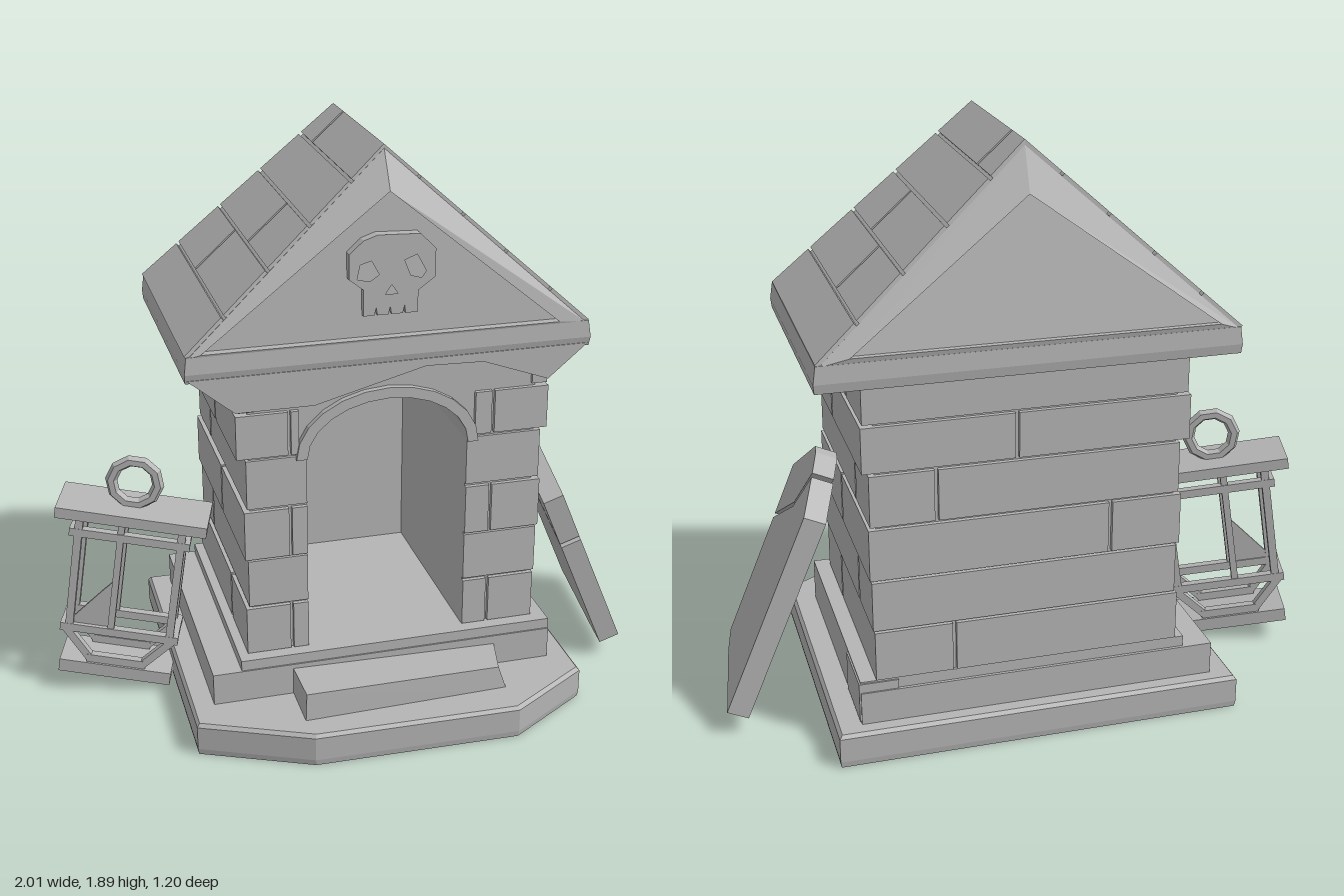
import * as THREE from 'three';

const stone = new THREE.MeshStandardMaterial({ color: 0xb4b4b4 });
stone.name = 'grey stone';

// Adds a faceted mesh to a parent
function add(parent, name, geometry) {
  const geo = geometry.index ? geometry.toNonIndexed() : geometry;
  geo.computeVertexNormals();
  const mesh = new THREE.Mesh(geo, stone);
  mesh.name = name;
  parent.add(mesh);
  return mesh;
}

function group(parent, name) {
  const g = new THREE.Group();
  g.name = name;
  parent.add(g);
  return g;
}

// Box given by its limits
function box(parent, name, x0, x1, y0, y1, z0, z1) {
  const geo = new THREE.BoxGeometry(x1 - x0, y1 - y0, z1 - z0);
  geo.translate((x0 + x1) / 2, (y0 + y1) / 2, (z0 + z1) / 2);
  return add(parent, name, geo);
}

// Closed solid through rings of equal point count, capped with fans and turned outwards
function loft(rings) {
  const n = rings[0].length, pos = rings.flat(2), idx = [];
  for (let r = 0; r < rings.length - 1; r++) {
    for (let i = 0; i < n; i++) {
      const a = r * n + i, b = r * n + (i + 1) % n;
      idx.push(a, b, b + n, a, b + n, a + n);
    }
  }
  const last = (rings.length - 1) * n;
  for (let i = 1; i < n - 1; i++) {
    idx.push(0, i + 1, i, last, last + i, last + i + 1);
  }
  const v = (i) => new THREE.Vector3(...pos.slice(i * 3, i * 3 + 3));
  let volume = 0;
  for (let i = 0; i < idx.length; i += 3) volume += v(idx[i]).dot(v(idx[i + 1]).cross(v(idx[i + 2])));
  if (volume < 0) idx.reverse();
  const geo = new THREE.BufferGeometry();
  geo.setAttribute('position', new THREE.Float32BufferAttribute(pos, 3));
  geo.setIndex(idx);
  return geo;
}

const shapeOf = (pts) => new THREE.Shape(pts.map((p) => new THREE.Vector2(...p)));
const pathOf = (pts) => new THREE.Path(pts.map((p) => new THREE.Vector2(...p)));
const extrude = (shape, z0, z1) =>
  new THREE.ExtrudeGeometry(shape, { depth: z1 - z0, bevelEnabled: false }).translate(0, 0, z0);

// Points of the door arch, left to right
function arch(rx, ry, cy = 0.93, n = 12) {
  return Array.from({ length: n + 1 }, (_, i) => {
    const a = Math.PI * (1 - i / n);
    return [0.04 + rx * Math.cos(a), cy + ry * Math.sin(a)];
  });
}

function buildBase(root) {
  const g = group(root, 'base');
  const plan = [[-0.63, -0.6], [0.68, -0.6], [0.68, 0.42], [0.4, 0.595], [-0.28, 0.58], [-0.63, 0.42]];
  const ring = (y, k) => plan.map(([x, z]) => [x * k, y, z * k]);
  add(g, 'foundation slab', loft([ring(0, 0.995), ring(0.02, 1), ring(0.1, 1), ring(0.112, 0.985)]));
  box(g, 'lower plinth', -0.555, 0.6, 0.1, 0.22, -0.55, 0.32);
  box(g, 'upper plinth', -0.46, 0.6, 0.2, 0.255, -0.54, 0.315);
  add(g, 'front step', loft([
    [[-0.29, 0.1, 0.3], [0.41, 0.1, 0.3], [0.4, 0.1, 0.47], [-0.29, 0.1, 0.49]],
    [[-0.29, 0.205, 0.3], [0.41, 0.19, 0.3], [0.37, 0.19, 0.465], [-0.285, 0.205, 0.485]],
  ]));
}

function buildWalls(root) {
  const g = group(root, 'walls');
  // Core with the arched doorway and the closed rear
  const outline = [[-0.41, 0.25], [-0.225, 0.25], ...arch(0.265, 0.18), [0.305, 0.25], [0.535, 0.25], [0.535, 1.23], [-0.41, 1.23]];
  add(g, 'wall core', extrude(shapeOf(outline), -0.44, 0.26));
  box(g, 'rear wall core', -0.41, 0.535, 0.25, 1.23, -0.53, -0.43);
  add(g, 'door arch', extrude(shapeOf([...arch(0.3, 0.215), ...arch(0.265, 0.18).reverse()]), 0.2, 0.282));
  // Brick courses: bottom, top, left x, right x, side joint z, rear joint x, split pier
  const courses = [
    [0.258, 0.42, -0.43, 0.55, 0.02, 0.3, true],
    [0.428, 0.59, -0.42, 0.555, -0.33, null, false],
    [0.598, 0.765, -0.43, 0.56, -0.1, -0.2, true],
    [0.775, 0.94, -0.42, 0.555, -0.33, 0.35, false],
    [0.95, 1.095, -0.45, 0.575, -0.065, 0.1, true],
    [1.105, 1.225, -0.44, 0.57, -0.3, null, false],
  ];
  const gap = 0.006, front = 0.275, back = -0.545, t = 0.05;
  courses.forEach(([y0, y1, xl, xr, zs, xb, split], row) => {
    // Side bricks
    for (const [x0, x1] of [[xl, xl + t], [xr - t, xr]]) {
      box(g, 'side brick', x0, x1, y0, y1, back, zs - gap);
      box(g, 'side brick', x0, x1, y0, y1, zs + gap, front - 0.004 * (row % 2));
    }
    // Rear bricks
    const joints = xb === null ? [xl + t, xr - t] : [xl + t, xb, xr - t];
    for (let i = 0; i < joints.length - 1; i++) {
      const a = joints[i] + (i ? gap : 0), b = joints[i + 1] - (i < joints.length - 2 ? gap : 0);
      box(g, 'rear brick', a, b, y0, y1, back, back + t);
    }
    // Front pier bricks beside the doorway
    if (row === 5) return;
    const inL = row === 4 ? -0.25 : -0.225, inR = row === 4 ? 0.33 : 0.305;
    const ends = split ? [[xl + t, -0.285], [-0.275, inL], [inR, 0.385], [0.395, xr - t]] : [[xl + t, inL], [inR, xr - t]];
    for (const [a, b] of ends) box(g, 'pier brick', a, b, y0, y1, front - t, front - 0.004 * (row % 2));
  });
  // Low bricks at the foot of the rear side
  box(g, 'foot brick', 0.48, 0.605, 0.12, 0.25, -0.545, -0.335);
}

function buildRoof(root) {
  const g = group(root, 'roof');
  const rect = (y, x0, x1, z0, z1) => [[x0, y, z0], [x1, y, z0], [x1, y, z1], [x0, y, z1]];
  add(g, 'cornice', loft([
    rect(1.22, -0.6, 0.705, -0.56, 0.275),
    rect(1.25, -0.602, 0.708, -0.565, 0.282),
    rect(1.305, -0.595, 0.7, -0.562, 0.278),
  ]));
  add(g, 'front corbel', extrude(shapeOf([
    [-0.595, 1.23], [-0.45, 1.11], [-0.2, 1.11], [0.16, 1.205], [0.35, 1.2], [0.57, 1.12], [0.7, 1.23],
  ]), 0.235, 0.28));
  // Gable body: recessed pediments inside sloping rims
  const tri = (xl, xr, y, top, z, zTop) => [[xl, y, z], [0.05, top, zTop], [xr, y, z]];
  add(g, 'gable', loft([
    tri(-0.55, 0.6, 1.31, 1.76, 0.25, 0.217),
    tri(-0.55, 0.6, 1.31, 1.76, 0.28, 0.237),
    tri(-0.59, 0.69, 1.3, 1.875, 0.277, 0.167),
    tri(-0.59, 0.69, 1.3, 1.875, -0.56, -0.435),
    tri(-0.53, 0.6, 1.32, 1.74, -0.565, -0.49),
    tri(-0.53, 0.6, 1.32, 1.74, -0.545, -0.47),
  ]));
  // Roof slabs in rows, split by joints
  const rows = [0, 0.19, 0.41, 0.62, 0.83, 1], joints = [null, -0.215, -0.055, null, -0.305];
  for (const eave of [-0.6, 0.7]) {
    const dx = 0.05 - eave, dy = 0.58, len = Math.hypot(dx, dy), th = 0.03;
    const nx = (-dy * Math.sign(dx) / len) * th, ny = (Math.abs(dx) / len) * th;
    joints.forEach((joint, r) => {
      const t0 = rows[r] + (r ? 0.006 : 0), t1 = rows[r + 1] - (r < 4 ? 0.006 : 0);
      const zf = (t) => 0.275 - 0.11 * t, zb = (t) => -0.56 + 0.125 * t;
      const spans = joint === null ? [[zb, zf]] : [[zb, () => joint - 0.006], [() => joint + 0.006, zf]];
      for (const [a, b] of spans) {
        const top = [[t0, a], [t1, a], [t1, b], [t0, b]].map(([t, z]) => [eave + dx * t, 1.308 + dy * t, z(t)]);
        const under = top.map(([x, y, z]) => [x - nx, y - ny, z]);
        add(g, 'roof slab', loft([under, top]));
      }
    });
  }
}

function buildSkull(root) {
  const skull = shapeOf([
    [-0.04, 1.62], [0.005, 1.635], [0.14, 1.63], [0.19, 1.58], [0.19, 1.49], [0.135, 1.45], [0.135, 1.38],
    [0.095, 1.38], [0.092, 1.405], [0.086, 1.38], [0.05, 1.38], [0.046, 1.405], [0.04, 1.38], [0.005, 1.38],
    [0.001, 1.405], [-0.005, 1.38], [-0.04, 1.38], [-0.04, 1.465], [-0.085, 1.5], [-0.085, 1.58],
  ]);
  skull.holes.push(
    pathOf([[-0.05, 1.545], [-0.015, 1.555], [0.01, 1.51], [-0.02, 1.49], [-0.06, 1.5]]),
    pathOf([[0.09, 1.55], [0.13, 1.565], [0.16, 1.51], [0.145, 1.49], [0.11, 1.5]]),
    pathOf([[0.05, 1.475], [0.07, 1.445], [0.03, 1.445]]),
  );
  add(root, 'skull relief', extrude(skull, 0.215, 0.262));
}

// Broken slab leaning on the wall; outlines are (z, y)
function buildLeaningSlab(root) {
  const g = group(root, 'leaning slab');
  const outer = ([z, y]) => [0.955 - (y - 0.09) * 0.42 - (z + 0.08) * 0.14, y, z];
  const inner = (p) => { const [x, y, z] = outer(p); return [x - 0.066, y - 0.027, z - 0.008]; };
  const pieces = {
    'upper slab piece': [[0.23, 0.67], [-0.055, 0.85], [-0.105, 0.85], [-0.185, 0.815], [-0.065, 0.667], [0.22, 0.502]],
    'lower slab piece': [[-0.07, 0.655], [-0.2, 0.808], [-0.335, 0.735], [-0.325, 0.085], [0.095, 0.07], [0.21, 0.085], [0.22, 0.488]],
  };
  for (const [name, pts] of Object.entries(pieces)) add(g, name, loft([pts.map(inner), pts.map(outer)]));
}

function buildLantern(root) {
  const g = group(root, 'lantern');
  g.position.set(-0.815, 0.05, -0.11);
  g.rotation.set(0, -0.28, -0.15, 'YXZ');
  // Square bar between two points
  const bar = (name, a, b, w = 0.026) => {
    const p = new THREE.Vector3(...a), q = new THREE.Vector3(...b);
    const m = add(g, name, new THREE.BoxGeometry(w, p.distanceTo(q), w));
    m.position.copy(p).add(q).multiplyScalar(0.5);
    m.quaternion.setFromUnitVectors(new THREE.Vector3(0, 1, 0), q.sub(p).normalize());
  };
  box(g, 'lantern foot', -0.19, 0.19, 0, 0.045, -0.085, 0.085);
  box(g, 'lantern cap', -0.25, 0.25, 0.585, 0.622, -0.1, 0.1);
  const X = 0.185, Z = 0.065;
  for (const s of [-1, 1]) {
    for (const y of [0.17, 0.53]) {
      bar('long frame bar', [-X - 0.015, y, s * Z], [X + 0.015, y, s * Z], 0.028);
      bar('short frame bar', [s * X, y, -Z], [s * X, y, Z], 0.028);
    }
    for (const e of [-1, 1]) {
      bar('corner post', [e * (X - 0.015), 0.17, s * Z], [e * (X - 0.015), 0.6, s * Z]);
      bar('foot brace', [e * X, 0.17, s * Z], [e * 0.09, 0.06, s * Z]);
    }
    bar('middle post', [-0.03, 0.17, s * Z], [-0.03, 0.6, s * Z], 0.022);
    bar('foot rail', [-0.1, 0.06, s * Z], [0.1, 0.06, s * Z], 0.028);
  }
  // Broken pane left inside the frame
  add(g, 'broken pane', extrude(shapeOf([[-0.18, 0.18], [-0.02, 0.18], [-0.02, 0.38], [-0.07, 0.32]]), 0.055, 0.064));
  const ring = add(g, 'carrying ring', new THREE.TorusGeometry(0.078, 0.02, 6, 10));
  ring.position.set(-0.01, 0.705, 0);
}

export function createModel() {
  const root = new THREE.Group();
  root.name = 'stone crypt';
  buildBase(root);
  buildWalls(root);
  buildRoof(root);
  buildSkull(root);
  buildLeaningSlab(root);
  buildLantern(root);
  return root;
}
